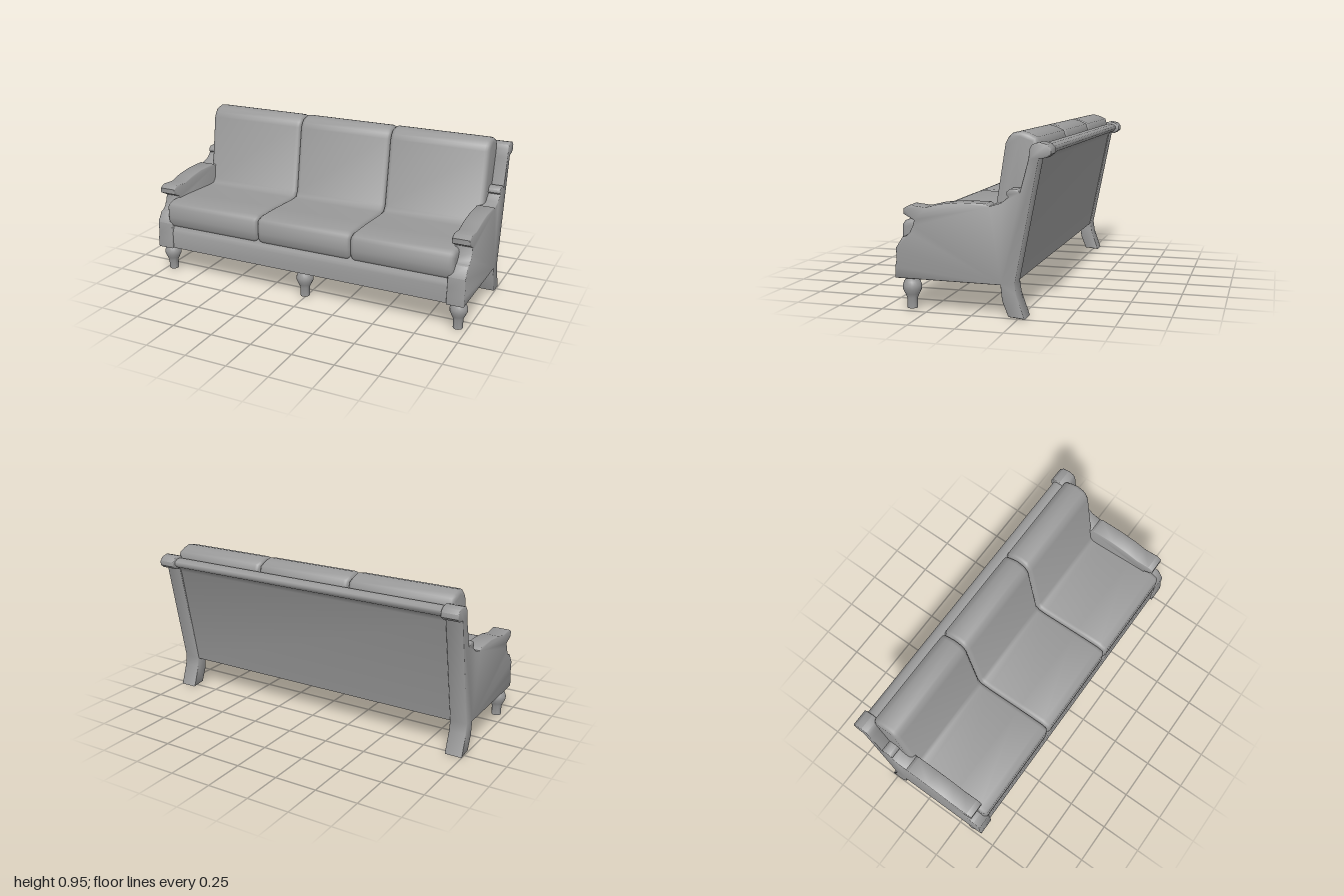
import * as THREE from 'three';
import { toCreasedNormals } from 'three/addons/utils/BufferGeometryUtils.js';

const upholstery = new THREE.MeshStandardMaterial({ color: 0x999999 });

// Extrudes a side profile of [z, y] points from x0 to x1 with softened side edges.
function sideExtrude(points, x0, x1, bevel, segments, crease) {
  const shape = new THREE.Shape(points.map(([z, y]) => new THREE.Vector2(-z, y)));
  const geo = new THREE.ExtrudeGeometry(shape, {
    depth: x1 - x0 - 2 * bevel,
    bevelEnabled: bevel > 0,
    bevelThickness: bevel,
    bevelSize: bevel,
    bevelOffset: -bevel,
    bevelSegments: segments,
  });
  geo.rotateY(Math.PI / 2);
  geo.translate(x0 + bevel, 0, 0);
  return toCreasedNormals(geo, crease);
}

export function createModel() {
  const sofa = new THREE.Group();
  sofa.name = 'sofa';

  const add = (name, geometry) => {
    const mesh = new THREE.Mesh(geometry, upholstery);
    mesh.name = name;
    sofa.add(mesh);
    return mesh;
  };

  // Side frames: scrolled arm, back post and splayed rear leg in one outline
  const frame = [
    [0.421, 0.174], [0.421, 0.23], [0.413, 0.27], [0.414, 0.335], [0.375, 0.395],
    [0.355, 0.4], [0.335, 0.42], [0.318, 0.455], [0.31, 0.485], [0.367, 0.515],
    [0.368, 0.545], [0.335, 0.563], [0.25, 0.554], [0.165, 0.575], [0.06, 0.586],
    [-0.08, 0.586], [-0.098, 0.573], [-0.16, 0.592], [-0.2, 0.625], [-0.19, 0.635],
    [-0.192, 0.652], [-0.21, 0.666], [-0.245, 0.666], [-0.26, 0.652], [-0.305, 0.82],
    [-0.31, 0.87], [-0.325, 0.893], [-0.36, 0.903], [-0.4, 0.893], [-0.42, 0.872],
    [-0.42, 0.845], [-0.395, 0.826], [-0.357, 0.822], [-0.233, 0.185], [-0.242, 0.125],
    [-0.286, 0], [-0.199, 0.008], [-0.166, 0.09], [-0.157, 0.171],
  ];
  add('leftSideFrame', sideExtrude(frame, 0.898, 1, 0.003, 1, 0.9));
  add('rightSideFrame', sideExtrude(frame, -1, -0.898, 0.003, 1, 0.9));

  // Raked back panel that flares smoothly into the top rail
  const back = [
    [-0.226, 0.18], [-0.346, 0.8], [-0.36, 0.826], [-0.387, 0.838], [-0.403, 0.857],
    [-0.4, 0.874], [-0.38, 0.885], [-0.35, 0.888], [-0.325, 0.875], [-0.3, 0.82], [-0.2, 0.18],
  ];
  add('backPanel', sideExtrude(back, -0.9, 0.9, 0, 0, 0.95));

  // Three cushions, each with seat and back in one L-shaped section
  const cushion = [
    [0.365, 0.315], [0.395, 0.319], [0.41, 0.337], [0.413, 0.38], [0.413, 0.447],
    [0.4, 0.465], [0.362, 0.479], [0.2, 0.474], [-0.03, 0.46], [-0.075, 0.463],
    [-0.094, 0.485], [-0.158, 0.887], [-0.173, 0.916], [-0.196, 0.941], [-0.245, 0.952],
    [-0.29, 0.94], [-0.328, 0.922], [-0.342, 0.875], [-0.215, 0.345], [0.33, 0.345],
  ];
  const seams = [-0.93, -0.292, 0.312, 0.928];
  for (let i = 0; i < 3; i++) {
    add('cushion' + (i + 1), sideExtrude(cushion, seams[i], seams[i + 1], 0.028, 3, 0.9));
  }

  // Front rail, leaning back under the cushions; the base is open below
  const rail = [
    [0.408, 0.175], [0.408, 0.275], [0.4, 0.295], [0.385, 0.325], [0.375, 0.36],
    [0.352, 0.36], [0.365, 0.175],
  ];
  add('frontRail', sideExtrude(rail, -0.9, 0.9, 0, 0, 0.7));

  // Turned front legs
  const legProfile = [
    [0, 0.008], [0.028, 0.008], [0.029, 0.065], [0.038, 0.085], [0.05, 0.11],
    [0.051, 0.132], [0.043, 0.152], [0.032, 0.172], [0.032, 0.185],
  ].map(([r, y]) => new THREE.Vector2(r, y));
  for (const x of [-0.95, -0.005, 0.95]) {
    const leg = add('frontLeg', toCreasedNormals(new THREE.LatheGeometry(legProfile, 20), 0.8));
    leg.position.set(x, 0, 0.345);
  }

  return sofa;
}
